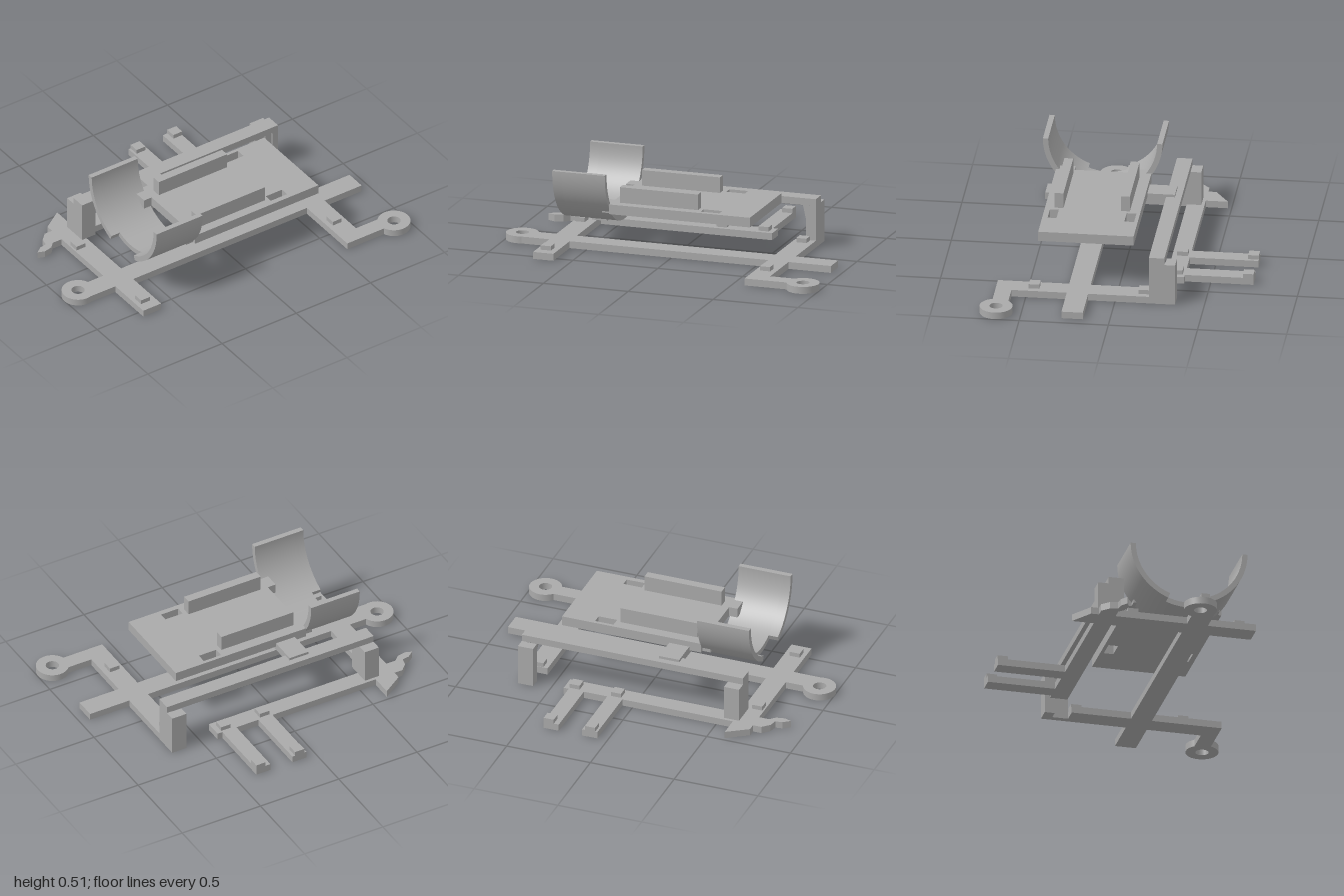
import * as THREE from 'three';

const grey = new THREE.MeshStandardMaterial({ color: 0xaaaaaa });
grey.name = 'plain grey';

export function createModel() {
  const model = new THREE.Group();
  model.name = 'mountingFrame';

  const add = (name, geometry) => {
    const mesh = new THREE.Mesh(geometry, grey);
    mesh.name = name;
    model.add(mesh);
    return mesh;
  };
  // Box given by its limits on each axis
  const box = (name, x0, x1, y0, y1, z0, z1) => {
    const g = new THREE.BoxGeometry(x1 - x0, y1 - y0, z1 - z0);
    g.translate((x0 + x1) / 2, (y0 + y1) / 2, (z0 + z1) / 2);
    return add(name, g);
  };
  // Plan shape in x and z, raised from y0 to y1
  const plan = pts => new THREE.Shape(pts.map(([x, z]) => new THREE.Vector2(x, -z)));
  const slab = (name, shape, y0, y1) => {
    const g = new THREE.ExtrudeGeometry(shape, { depth: y1 - y0, bevelEnabled: false, curveSegments: 24 });
    g.rotateX(-Math.PI / 2).translate(0, y0, 0);
    return add(name, g);
  };

  // Flat base frame with hook, forks and end stubs
  slab('baseFrame', plan([
    [-0.83, 0.15], [-0.72, 0.15], [-0.72, -0.26], [-0.78, -0.26], [-0.81, -0.23], [-0.86, -0.22],
    [-0.90, -0.235], [-0.86, -0.265], [-0.82, -0.27], [-0.81, -0.315], [-0.77, -0.355], [-0.72, -0.355],
    [-0.72, -0.4], [-0.6, -0.48], [-0.6, -0.355], [0.06, -0.355], [0.06, -0.74], [0.15, -0.74],
    [0.15, -0.355], [0.29, -0.355], [0.29, -0.74], [0.38, -0.74], [0.38, -0.355], [0.41, -0.355],
    [0.41, -0.255], [-0.6, -0.255], [-0.6, 0.15], [0.57, 0.15], [0.57, -0.19], [0.69, -0.19],
    [0.69, 0.15], [0.94, 0.15], [0.94, 0.27], [0.69, 0.27], [0.69, 0.58], [0.835, 0.58],
    [0.82, 0.67], [0.57, 0.67], [0.57, 0.27], [-0.6, 0.27], [-0.6, 0.545], [-0.72, 0.545],
    [-0.72, 0.27], [-0.9, 0.268], [-0.85, 0.22],
  ]), 0, 0.04);

  // Screw rings
  for (const [x, z] of [[-0.91, 0.18], [0.905, 0.64]]) {
    const ring = new THREE.Shape().absarc(x, -z, 0.092, 0, Math.PI * 2);
    ring.holes.push(new THREE.Path().absarc(x, -z, 0.037, 0, Math.PI * 2));
    slab('screwRing', ring, 0, 0.04);
  }

  // Small locating lugs on the base
  for (const [x, z] of [
    [-0.68, -0.157], [-0.665, 0.457], [0.627, -0.157], [0.627, 0.457],
    [0.103, -0.312], [0.35, -0.312], [0.103, -0.71], [0.35, -0.71],
  ]) box('lug', x - 0.03, x + 0.03, 0.04, 0.065, z - 0.03, z + 0.03);

  // Solid post at the model's right
  box('rightPost', -0.63, -0.54, 0.04, 0.24, -0.337, -0.19);

  // Channel-shaped post at the model's left with a latch inside
  box('leftPostWall', 0.655, 0.69, 0, 0.24, -0.337, -0.19);
  box('leftPostBack', 0.6, 0.655, 0, 0.24, -0.337, -0.28);
  const latch = plan([[0.61, -0.24], [0.65, -0.24], [0.665, -0.15], [0.63, -0.15]]);
  const latchGeometry = new THREE.ExtrudeGeometry(latch, { depth: 0.03, bevelEnabled: false });
  latchGeometry.translate(0, 0, -0.23);
  add('latch', latchGeometry);

  // Raised rear beam and the tab that carries the tray
  box('upperBeam', -0.63, 0.69, 0.24, 0.28, -0.277, -0.19);
  box('beamTab', -0.235, -0.115, 0.25, 0.295, -0.24, -0.04);

  // Tray with two slots and two tongues gripping the cradle
  const tray = plan([
    [-0.305, -0.085], [0.525, -0.085], [0.525, 0.45], [-0.305, 0.45], [-0.305, 0.43], [-0.355, 0.43],
    [-0.355, 0.345], [-0.305, 0.345], [-0.305, 0.02], [-0.355, 0.02], [-0.355, -0.065], [-0.305, -0.065],
  ]);
  for (const [z0, z1] of [[-0.065, -0.01], [0.37, 0.42]]) {
    tray.holes.push(new THREE.Path([[0.225, z0], [0.225, z1], [0.335, z1], [0.335, z0]]
      .map(([x, z]) => new THREE.Vector2(x, -z))));
  }
  slab('tray', tray, 0.272, 0.328);
  for (const z of [0, 0.372]) box('trayRail', -0.26, 0.2, 0.328, 0.418, z - 0.025, z + 0.025);

  // Curved cradle, open upwards; its outer end is notched at the bottom
  const arc = (name, x0, x1, a0, a1) => {
    const s = new THREE.Shape();
    s.absarc(0, 0, 0.335, a0, a1, false);
    s.absarc(0, 0, 0.305, a1, a0, true);
    const g = new THREE.ExtrudeGeometry(s, { depth: x1 - x0, bevelEnabled: false, curveSegments: 40 });
    g.rotateY(Math.PI / 2).translate(x0, 0.512, 0.188);
    add(name, g);
  };
  const half = 0.365, down = Math.PI * 1.5;
  arc('cradle', -0.56, -0.305, Math.PI, Math.PI * 2);
  arc('cradleEnd', -0.615, -0.56, Math.PI, down - half);
  arc('cradleEnd', -0.615, -0.56, down + half, Math.PI * 2);

  // Smooth the curved walls of rings and cradle, keeping real edges sharp
  for (const mesh of model.children) {
    if (/cradle|Ring/.test(mesh.name)) mesh.geometry = smooth(mesh.geometry);
  }
  return model;
}

// Average normals of neighbouring faces that meet at a shallow angle
function smooth(geometry) {
  const g = geometry.index ? geometry.toNonIndexed() : geometry;
  g.computeVertexNormals();
  const p = g.attributes.position, n = g.attributes.normal, groups = new Map();
  const normals = [];
  for (let i = 0; i < p.count; i++) {
    const key = [p.getX(i), p.getY(i), p.getZ(i)].map(v => Math.round(v * 1e4)).join();
    normals.push(new THREE.Vector3().fromBufferAttribute(n, i));
    if (!groups.has(key)) groups.set(key, []);
    groups.get(key).push(i);
  }
  for (const ids of groups.values()) for (const i of ids) {
    const sum = new THREE.Vector3();
    for (const j of ids) if (normals[i].dot(normals[j]) > 0.8) sum.add(normals[j]);
    sum.normalize();
    n.setXYZ(i, sum.x, sum.y, sum.z);
  }
  return g;
}
